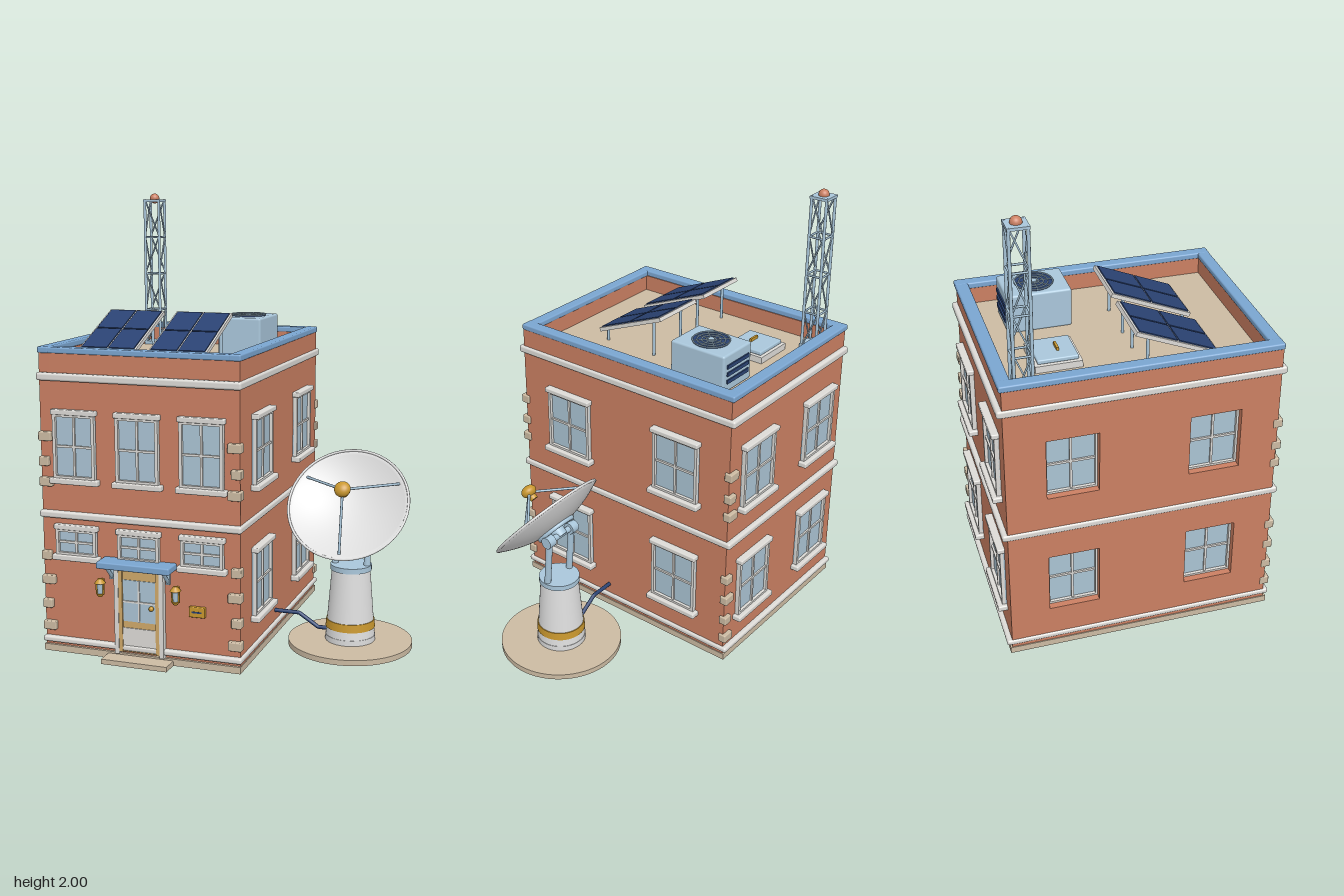
import * as THREE from 'three';
import { RoundedBoxGeometry } from 'three/addons/geometries/RoundedBoxGeometry.js';

const paint = (name, color, side = THREE.FrontSide) => {
  const m = new THREE.MeshStandardMaterial({ color, side });
  m.name = name;
  return m;
};
const M = {
  brick: paint('brick', 0xca7f62),
  trim: paint('pale trim', 0xdcdad6),
  stone: paint('tan stone', 0xcbbaa2),
  blue: paint('coping blue', 0x7aa5d0),
  glass: paint('window glass', 0xaac3d3),
  steel: paint('light steel', 0xa9c6da),
  navy: paint('navy', 0x2a4272),
  gold: paint('brass', 0xc9972e),
  wood: paint('door wood', 0xcfa869),
  dish: paint('dish white', 0xdedede, THREE.DoubleSide),
};
const WALL = { x0: -0.77, x1: 0.14, z0: -0.61, z1: 0.55 }, ROOF = 1.255;

function add(parent, name, geo, mat, x = 0, y = 0, z = 0) {
  const m = new THREE.Mesh(geo, mat);
  m.name = name;
  m.position.set(x, y, z);
  parent.add(m);
  return m;
}
function group(parent, name, x = 0, y = 0, z = 0) {
  const g = new THREE.Group();
  g.name = name;
  g.position.set(x, y, z);
  parent.add(g);
  return g;
}
// box given by its limits; r rounds the edges
function box(p, name, mat, x0, x1, y0, y1, z0, z1, r = 0) {
  const s = [x1 - x0, y1 - y0, z1 - z0];
  const geo = r ? new RoundedBoxGeometry(...s, 3, r) : new THREE.BoxGeometry(...s);
  return add(p, name, geo, mat, (x0 + x1) / 2, (y0 + y1) / 2, (z0 + z1) / 2);
}
function cyl(p, name, mat, rTop, rBot, y0, y1, x = 0, z = 0, n = 40) {
  return add(p, name, new THREE.CylinderGeometry(rTop, rBot, y1 - y0, n), mat, x, (y0 + y1) / 2, z);
}
function rod(p, name, mat, a, b, r, n = 8) {
  const A = new THREE.Vector3(...a), B = new THREE.Vector3(...b), d = B.clone().sub(A);
  const m = add(p, name, new THREE.CylinderGeometry(r, r, d.length(), n), mat);
  m.position.copy(A).add(B).multiplyScalar(0.5);
  m.quaternion.setFromUnitVectors(new THREE.Vector3(0, 1, 0), d.normalize());
}

// window facing +z, centred on its origin on the wall plane
function makeWindow(p, x, y, z, turn, w, h, out = 0.04, sills = true) {
  const g = group(p, 'window', x, y, z), a = w / 2, b = h / 2, f = 0.014;
  g.rotation.y = turn;
  box(g, 'glass', M.glass, -a, a, -b, b, -0.005, 0.006);
  for (const s of [-1, 1]) {
    box(g, 'frameSide', M.trim, s * (a - f / 2) - f / 2, s * (a - f / 2) + f / 2, -b, b, 0, 0.02);
    box(g, 'frameRail', M.trim, -a, a, s * (b - f / 2) - f / 2, s * (b - f / 2) + f / 2, 0, 0.02);
  }
  box(g, 'mullion', M.trim, -0.005, 0.005, -b, b, 0, 0.014);
  box(g, 'glazingBar', M.trim, -a, a, -0.005, 0.005, 0, 0.014);
  if (!sills) return;
  box(g, 'lintel', M.trim, -a - 0.008, a + 0.008, b - 0.005, b + 0.018, -0.01, out * 0.8, 0.005);
  box(g, 'sill', M.trim, -a - 0.016, a + 0.016, -b - 0.022, -b + 0.004, -0.01, out, 0.006);
}

function building(root) {
  const g = group(root, 'building'), { x0, x1, z0, z1 } = WALL;
  box(g, 'foundation', M.stone, x0 - 0.004, x1 + 0.004, 0, 0.03, z0 - 0.008, z1 + 0.012);
  box(g, 'walls', M.brick, x0 + 0.05, x1, 0.03, 1.25, z0, z1);
  box(g, 'roofDeck', M.stone, x0 + 0.05, x1 - 0.04, 1.24, ROOF, z0 + 0.04, z1 - 0.04);

  // thick side wall with window openings
  const shape = new THREE.Shape();
  shape.moveTo(-z1, 0.03).lineTo(-z0, 0.03).lineTo(-z0, 1.33).lineTo(-z1, 1.33);
  for (const z of [0.275, -0.33]) for (const y of [0.345, 0.93]) {
    const h = new THREE.Path();
    h.moveTo(-z - 0.11, y - 0.14).lineTo(-z - 0.11, y + 0.14).lineTo(-z + 0.11, y + 0.14).lineTo(-z + 0.11, y - 0.14);
    shape.holes.push(h);
    makeWindow(g, x0 + 0.05, y, z, -Math.PI / 2, 0.23, 0.29, 0, false);
  }
  const side = add(g, 'sideWall', new THREE.ExtrudeGeometry(shape, { depth: 0.05, bevelEnabled: false }), M.brick, x0);
  side.rotation.y = Math.PI / 2;

  // parapet and coping
  box(g, 'parapet', M.brick, x1 - 0.045, x1, 1.25, 1.33, z0, z1);
  for (const [a, b] of [[z0, z0 + 0.045], [z1 - 0.045, z1]])
    box(g, 'parapet', M.brick, x0 + 0.05, x1 - 0.045, 1.25, 1.33, a, b);
  for (const [a, b] of [[x0 - 0.006, x0 + 0.048], [x1 - 0.05, x1 + 0.004]])
    box(g, 'coping', M.blue, a, b, 1.328, 1.356, z0 - 0.01, z1 + 0.004, 0.007);
  for (const [a, b] of [[z0 - 0.01, z0 + 0.046], [z1 - 0.05, z1 + 0.003]])
    box(g, 'coping', M.blue, x0, x1, 1.328, 1.355, a, b, 0.007);

  // horizontal mouldings
  for (const [a, b] of [[0.044, 0.07], [0.611, 0.642], [1.212, 1.246]])
    box(g, 'moulding', M.trim, x0 - 0.007, x1 + 0.011, a, b, z0 - 0.022, z1 + 0.022, 0.01);

  // corner quoins of alternating width
  [0.12, 0.22, 0.33, 0.44, 0.77, 0.86, 0.97].forEach((y, i) => {
    const w = i % 2 ? 0.045 : 0.06;
    for (const [a, b] of [[z1 - 0.02, z1 + 0.022], [z0 - 0.018, z0 + 0.02]]) {
      box(g, 'quoin', M.stone, x1 + 0.01 - w, x1 + 0.01, y - 0.02, y + 0.02, a, b, 0.005);
      if (a > 0) box(g, 'quoin', M.stone, x0 - 0.003, x0 - 0.003 + w, y - 0.02, y + 0.02, a, b, 0.005);
    }
  });

  // windows
  for (const x of [-0.607, -0.315, -0.026]) {
    makeWindow(g, x, 0.93, z1, 0, 0.195, 0.285, 0.03);
    makeWindow(g, x, 0.507, z1, 0, 0.19, 0.12, 0.03);
  }
  for (const y of [0.345, 0.925]) {
    for (const z of [0.275, -0.333]) makeWindow(g, x1, y, z, Math.PI / 2, 0.24, 0.29);
    for (const x of [-0.566, -0.07]) makeWindow(g, x, y, z0, Math.PI, 0.24, 0.29);
  }
}

function entrance(root) {
  const g = group(root, 'entrance', -0.313, 0, WALL.z1);
  box(g, 'step', M.stone, -0.152, 0.152, 0, 0.022, -0.02, 0.09);
  box(g, 'doorPanel', M.wood, -0.095, 0.095, 0.04, 0.41, 0, 0.016);
  box(g, 'doorGlass', M.glass, -0.075, 0.075, 0.18, 0.365, 0.01, 0.019);
  box(g, 'kickPanel', M.trim, -0.08, 0.08, 0.07, 0.15, 0.01, 0.02);
  box(g, 'doorMullion', M.trim, -0.004, 0.004, 0.18, 0.365, 0.01, 0.024);
  box(g, 'doorBar', M.trim, -0.075, 0.075, 0.265, 0.273, 0.01, 0.024);
  add(g, 'doorKnob', new THREE.SphereGeometry(0.011, 16, 12), M.gold, 0.06, 0.25, 0.028);
  box(g, 'awning', M.blue, -0.167, 0.167, 0.425, 0.455, -0.01, 0.09, 0.006);
  for (const s of [-1, 1]) {
    box(g, 'doorPost', M.trim, s * 0.104 - 0.01, s * 0.104 + 0.01, 0.03, 0.425, 0, 0.026);
    box(g, 'doorStile', M.wood, s * 0.086 - 0.009, s * 0.086 + 0.009, 0.04, 0.41, 0, 0.024);
    rod(g, 'awningBracket', M.steel, [s * 0.13, 0.37, 0.006], [s * 0.13, 0.43, 0.065], 0.008);
    box(g, 'bracketPlate', M.steel, s * 0.13 - 0.009, s * 0.13 + 0.009, 0.36, 0.428, 0, 0.012);
    // wall lantern
    const l = group(g, 'lantern', s * 0.175 - 0.003, 0.32, 0.028);
    cyl(l, 'lanternGlass', M.glass, 0.014, 0.011, -0.025, 0.022, 0, 0, 12);
    cyl(l, 'lanternCap', M.gold, 0.009, 0.025, 0.022, 0.042, 0, 0, 12);
    cyl(l, 'lanternBase', M.gold, 0.018, 0.01, -0.038, -0.024, 0, 0, 12);
    for (const x of [-0.016, 0.016]) box(l, 'lanternBar', M.gold, x - 0.003, x + 0.003, -0.028, 0.024, -0.004, 0.004);
    box(l, 'lanternBack', M.gold, -0.008, 0.008, -0.03, 0.035, -0.03, -0.01);
  }
  box(g, 'mailbox', M.gold, 0.228, 0.3, 0.23, 0.276, 0, 0.02, 0.004);
  box(g, 'mailSlot', M.navy, 0.242, 0.286, 0.25, 0.257, 0.012, 0.0215);
}

function rooftop(root) {
  const g = group(root, 'rooftop', 0, ROOF, 0);
  // tilted solar panels
  for (const x of [-0.568, -0.236]) {
    const p = group(g, 'solarPanel', x, 1.387 - ROOF, 0.122);
    const t = group(p, 'panelTop');
    t.rotation.x = 0.395;
    box(t, 'panelFrame', M.trim, -0.135, 0.135, -0.012, 0.006, -0.187, 0.187);
    for (const s of [-1, 1]) {
      for (const k of [-1, 1])
        box(t, 'solarCell', M.navy, s * 0.065 - 0.061, s * 0.065 + 0.061, 0, 0.011, k * 0.09 - 0.086, k * 0.09 + 0.086);
      rod(p, 'backLeg', M.steel, [s * 0.1, ROOF - 1.387, -0.115], [s * 0.1, 0.04, -0.115], 0.007);
      rod(p, 'frontLeg', M.steel, [s * 0.1, ROOF - 1.387, 0.15], [s * 0.1, -0.065, 0.15], 0.007);
    }
  }
  // access hatch
  box(g, 'hatchFrame', M.trim, -0.558, -0.36, 0, 0.03, -0.425, -0.227);
  box(g, 'hatchLid', M.steel, -0.545, -0.373, 0.03, 0.05, -0.412, -0.24, 0.006);
  box(g, 'hatchHandle', M.gold, -0.488, -0.435, 0.05, 0.064, -0.319, -0.309);

  // cooling unit with fan grille
  const a = group(g, 'coolingUnit', -0.114, 0, -0.32), top = 1.43 - ROOF;
  box(a, 'unitCase', M.steel, -0.104, 0.104, 0, top, -0.14, 0.14, 0.01);
  cyl(a, 'fanWell', M.navy, 0.082, 0.082, top - 0.01, top + 0.004);
  for (const r of [0.022, 0.042, 0.062, 0.082])
    add(a, 'grilleRing', new THREE.TorusGeometry(r, 0.003, 6, 40).rotateX(Math.PI / 2), M.steel, 0, top + 0.006, 0);
  for (let i = 0; i < 4; i++) {
    const c = Math.cos(i * Math.PI / 4) * 0.082, s = Math.sin(i * Math.PI / 4) * 0.082;
    rod(a, 'grilleSpoke', M.steel, [-c, top + 0.006, -s], [c, top + 0.006, s], 0.0025, 6);
  }
  cyl(a, 'fanHub', M.steel, 0.014, 0.014, top, top + 0.01, 0, 0, 20);
  for (const y of [0.05, 0.085, 0.12]) box(a, 'louvre', M.navy, -0.08, 0.08, y - 0.009, y + 0.009, -0.146, -0.138);

  // lattice mast
  const m = group(g, 'mast', -0.666, 0, -0.505), H = 1.972 - ROOF, h = 0.037, bays = 4;
  box(m, 'mastFoot', M.steel, -0.045, 0.045, 0, 0.016, -0.045, 0.045);
  box(m, 'mastCap', M.steel, -0.044, 0.044, H - 0.012, H, -0.044, 0.044);
  for (let k = 0; k < 4; k++) {
    const f = group(m, 'mastFace');
    f.rotation.y = k * Math.PI / 2;
    rod(f, 'mastLeg', M.steel, [-h, 0, h], [-h, H, h], 0.007);
    for (let i = 0; i < bays; i++) {
      const y0 = H * i / bays, y1 = H * (i + 1) / bays, s = i % 2 ? -h : h;
      rod(f, 'mastRung', M.steel, [-h, y1 - 0.006, h], [h, y1 - 0.006, h], 0.005, 6);
      rod(f, 'mastBrace', M.steel, [-s, y0, h], [s, y1, h], 0.004, 6);
    }
  }
  add(m, 'beacon', new THREE.SphereGeometry(0.024, 24, 16), M.brick, 0, 1.976 - ROOF, 0);
}

function antenna(root) {
  const g = group(root, 'dishAntenna', 0.494, 0, 0.056);
  cyl(g, 'pad', M.stone, 0.278, 0.278, 0, 0.025, 0, 0, 64);
  cyl(g, 'pedestalFoot', M.dish, 0.112, 0.112, 0.025, 0.05);
  cyl(g, 'pedestal', M.dish, 0.086, 0.11, 0.05, 0.352);
  cyl(g, 'pedestalBand', M.gold, 0.108, 0.111, 0.086, 0.122);
  cyl(g, 'turntable', M.steel, 0.092, 0.092, 0.35, 0.374);
  for (const s of [-1, 1]) {
    rod(g, 'yokeArm', M.steel, [s * 0.073, 0.36, 0.005], [s * 0.073, 0.6, -0.016], 0.015, 16);
    rod(g, 'pivot', M.steel, [s * 0.055, 0.6, -0.016], [s * 0.095, 0.6, -0.016], 0.027, 24);
  }
  rod(g, 'axle', M.steel, [-0.09, 0.6, -0.016], [0.09, 0.6, -0.016], 0.014, 16);

  // parabolic reflector; local +y is the aiming direction
  const d = group(g, 'reflector', -0.003, 0.665, 0.068), R = 0.267, D = 0.068, pts = [];
  d.rotation.x = 0.863;
  for (let i = 0; i <= 14; i++) pts.push(new THREE.Vector2(R * i / 14, D * (i / 14) ** 2 - D - 0.008));
  for (let i = 14; i >= 0; i--) pts.push(new THREE.Vector2(R * i / 14, D * (i / 14) ** 2 - D));
  add(d, 'bowl', new THREE.LatheGeometry(pts, 64), M.dish);
  add(d, 'rim', new THREE.TorusGeometry(R, 0.006, 8, 64).rotateX(Math.PI / 2), M.dish, 0, -0.003, 0);
  add(d, 'backRing', new THREE.TorusGeometry(0.085, 0.011, 10, 40).rotateX(Math.PI / 2), M.steel, 0, -0.074, 0);
  cyl(d, 'hub', M.steel, 0.035, 0.03, -0.115, -0.07, 0, 0, 24);
  for (const [x, z] of [[-0.208, -0.12], [0.208, -0.12], [0, 0.24]])
    rod(d, 'feedStrut', M.steel, [x, -0.012, z], [0, 0.13, 0], 0.006);
  const feed = add(d, 'feedHorn', new THREE.SphereGeometry(0.036, 24, 16), M.gold, 0, 0.133, 0);
  feed.scale.y = 0.75;
  cyl(d, 'feedTip', M.gold, 0.018, 0.018, 0.09, 0.13, 0, 0, 20);

  // cable to the building
  const path = new THREE.CurvePath();
  const c = [[0.13, 0.118], [0.255, 0.118], [0.345, 0.06], [0.4, 0.06]].map(([x, y]) => new THREE.Vector3(x, y, 0.057));
  for (let i = 0; i < 3; i++) path.add(new THREE.LineCurve3(c[i], c[i + 1]));
  add(root, 'cable', new THREE.TubeGeometry(path, 40, 0.009, 10), M.navy);
}

export function createModel() {
  const root = new THREE.Group();
  root.name = 'groundStation';
  building(root);
  entrance(root);
  rooftop(root);
  antenna(root);
  return root;
}
